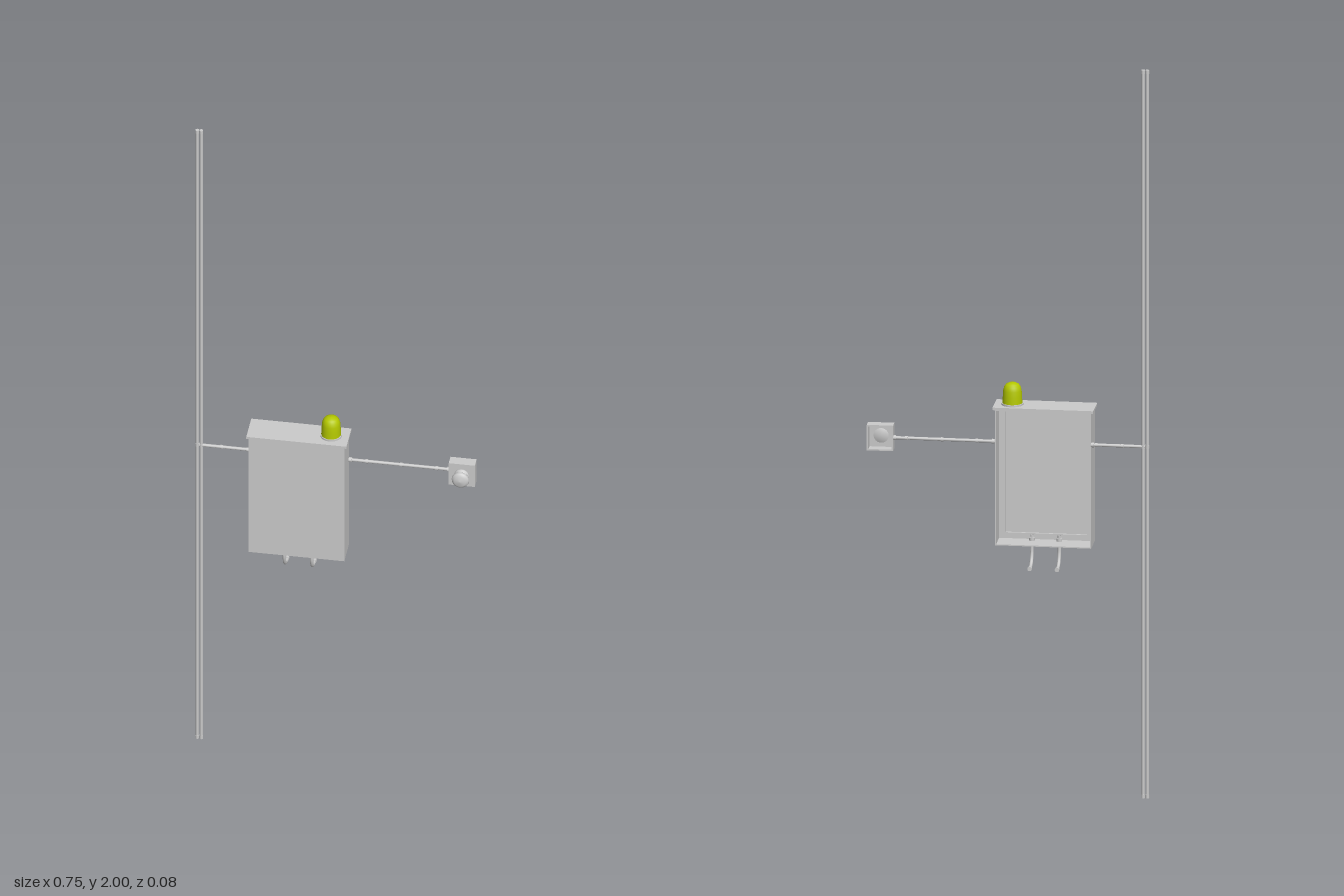
import * as THREE from 'three';

const grey = new THREE.MeshStandardMaterial({ color: 0xcccccc, side: THREE.DoubleSide });
const lime = new THREE.MeshStandardMaterial({ color: 0xb4c800 });

export function createModel() {
  const root = new THREE.Group();

  const add = (name, geo, x = 0, y = 0, z = 0, mat = grey) => {
    const m = new THREE.Mesh(geo, mat);
    m.name = name;
    m.position.set(x, y, z);
    root.add(m);
    return m;
  };
  const box = (name, w, h, d, x, y, z) => add(name, new THREE.BoxGeometry(w, h, d), x, y, z);

  // Rectangular frame, extruded from z0 to z1
  const frame = (name, w, h, t, x, y, z0, z1) => {
    const rect = (P, a, b) => {
      const p = new P();
      p.moveTo(-a, -b); p.lineTo(a, -b); p.lineTo(a, b); p.lineTo(-a, b); p.closePath();
      return p;
    };
    const s = rect(THREE.Shape, w / 2, h / 2);
    s.holes.push(rect(THREE.Path, w / 2 - t, h / 2 - t));
    add(name, new THREE.ExtrudeGeometry(s, { depth: z1 - z0, bevelEnabled: false }), x, y, z0);
  };

  // Straight round pieces along x or y
  const rod = (name, axis, r, len, x, y, z) => {
    const m = add(name, new THREE.CylinderGeometry(r, r, len, 16), x, y, z);
    if (axis === 'x') m.rotation.z = Math.PI / 2;
  };
  const lathe = (name, pts, x, y, z, mat) =>
    add(name, new THREE.LatheGeometry(pts.map(p => new THREE.Vector2(...p)), 32), x, y, z, mat);

  // Cabinet: open-backed shell, inner rim, door and overhanging lid
  const cx = -0.094, cy = 0.867;
  frame('cabinetShell', 0.256, 0.372, 0.003, cx, cy, -0.038, 0.027);
  frame('cabinetRim', 0.25, 0.366, 0.016, cx, cy, 0.024, 0.031);
  box('cabinetDoor', 0.256, 0.372, 0.008, cx, cy, 0.034);
  box('cabinetLid', 0.268, 0.007, 0.082, cx, 1.0565, -0.001);

  // Beacon: base ring and domed lens
  rod('beaconBase', 'y', 0.029, 0.005, -0.008, 1.0625, -0.004);
  lathe('beaconLens', [[0.0265, 0], [0.0255, 0.02], [0.0245, 0.036], [0.022, 0.046],
    [0.017, 0.053], [0.009, 0.057], [0, 0.058]], -0.008, 1.063, -0.004, lime);

  // Twin vertical conduits with end collars
  const pz = -0.032;
  for (const x of [-0.371, -0.36]) {
    rod('verticalConduit', 'y', 0.0042, 2, x, 1, pz);
    for (const y of [0.005, 0.965, 1.995]) rod('conduitCollar', 'y', 0.005, 0.01, x, y, pz);
  }

  // Horizontal conduits on both sides of the cabinet
  const hy = 0.965;
  rod('leftwardConduit', 'x', 0.0042, 0.145, -0.293, hy, pz);
  rod('buttonConduit', 'x', 0.0042, 0.275, 0.17, hy, pz);
  for (const x of [-0.305, -0.235, 0.083, 0.175, 0.27])
    rod('conduitCollar', 'x', 0.0056, 0.007, x, hy, pz);
  for (const x of [-0.225, 0.039, 0.302]) rod('conduitGland', 'x', 0.0065, 0.008, x, hy, pz);

  // Call point: open-backed box with mushroom button
  const bx = 0.34;
  frame('callPointShell', 0.07, 0.07, 0.004, bx, hy, -0.041, -0.014);
  box('callPointFace', 0.07, 0.07, 0.003, bx, hy, -0.0135);
  lathe('callButton', [[0, -0.004], [0.02, -0.004], [0.02, 0.004], [0.0145, 0.008], [0.0145, 0.012],
    [0.021, 0.016], [0.0235, 0.021], [0.022, 0.026], [0.015, 0.031], [0, 0.033]],
    bx, hy, -0.012).rotation.x = Math.PI / 2;

  // Cable outlets curving backwards under the cabinet
  for (const x of [-0.131, -0.058]) {
    const path = new THREE.CatmullRomCurve3([[0.7, 0.012], [0.68, 0.012], [0.65, 0.01],
      [0.63, 0.001], [0.621, -0.014], [0.619, -0.034]].map(([y, z]) => new THREE.Vector3(x, y, z)));
    add('cableOutlet', new THREE.TubeGeometry(path, 24, 0.0045, 12));
    rod('cableGland', 'y', 0.0075, 0.016, x, 0.684, 0.012);
    const tip = add('cableTip', new THREE.CylinderGeometry(0.006, 0.006, 0.008, 16), x, 0.619, -0.034);
    tip.rotation.x = Math.PI / 2;
  }

  return root;
}
